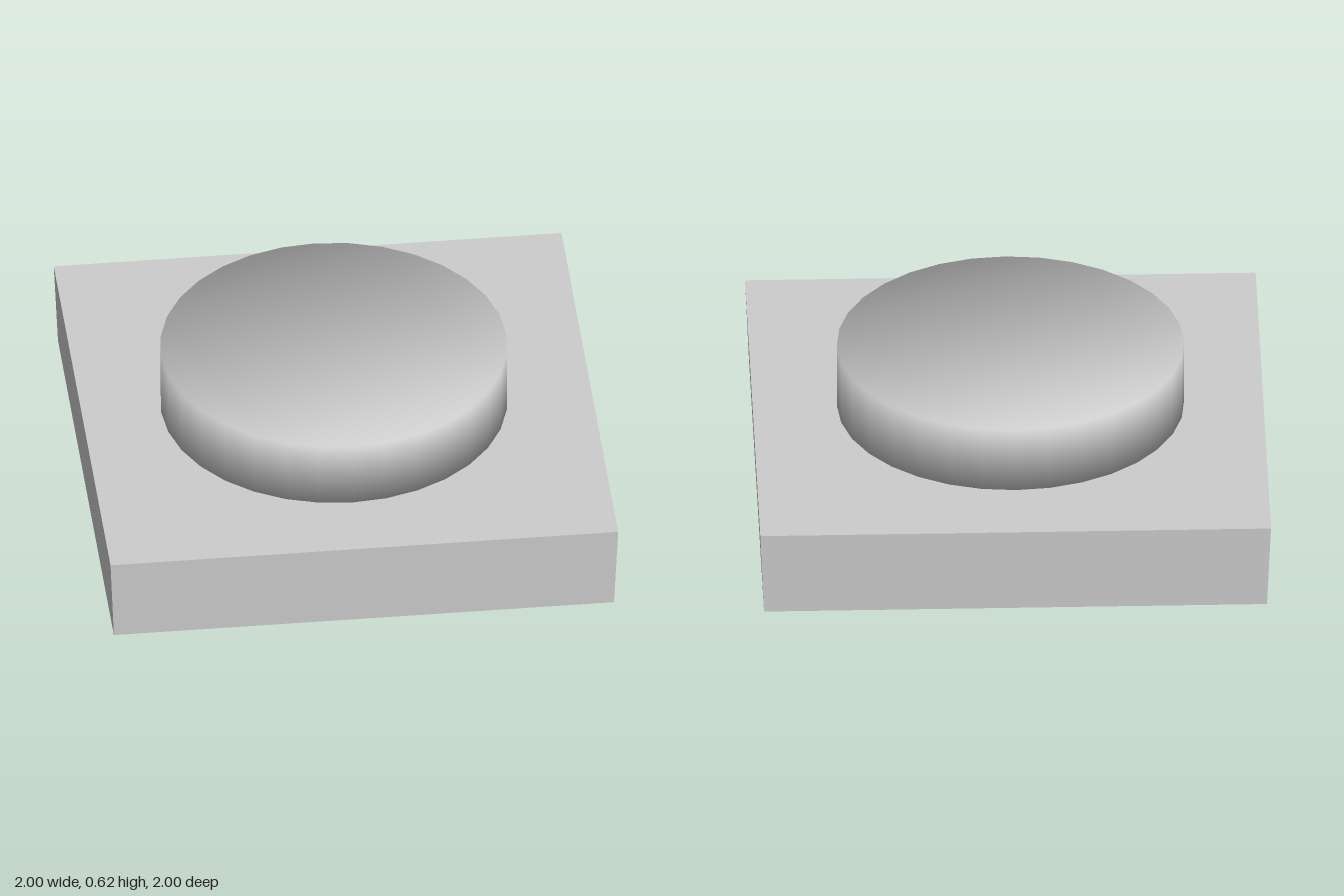
import * as THREE from 'three';
import { mergeVertices } from 'three/addons/utils/BufferGeometryUtils.js';

export function createModel() {
  const model = new THREE.Group();
  const grey = new THREE.MeshStandardMaterial({ color: 0xcccccc });
  grey.name = 'light grey';

  // Square base, slightly narrower at the bottom
  const baseHeight = 0.35;
  const baseGeometry = new THREE.CylinderGeometry(
    Math.SQRT2, 0.985 * Math.SQRT2, baseHeight, 4, 1, false, Math.PI / 4
  ).toNonIndexed();
  baseGeometry.computeVertexNormals();
  const base = new THREE.Mesh(baseGeometry, grey);
  base.name = 'base';
  base.position.y = baseHeight / 2;
  model.add(base);

  // Round raised disc, rim vertices shared so the edges shade softly
  const radius = 0.68, discHeight = 0.27, sides = 32;
  const outline = [];
  for (let i = 0; i < sides; i++) {
    const a = (i / sides) * Math.PI * 2;
    outline.push(new THREE.Vector2(Math.cos(a) * radius, Math.sin(a) * radius));
  }
  let discGeometry = new THREE.ExtrudeGeometry(new THREE.Shape(outline), {
    depth: discHeight, bevelEnabled: false, steps: 1
  });
  discGeometry.rotateX(-Math.PI / 2);
  discGeometry.deleteAttribute('normal');
  discGeometry.deleteAttribute('uv');
  discGeometry.clearGroups();
  discGeometry = mergeVertices(discGeometry, 1e-4);
  discGeometry.computeVertexNormals();

  // Even out the rim normals: outward, and up or down
  const position = discGeometry.attributes.position;
  const normal = discGeometry.attributes.normal;
  const n = new THREE.Vector3();
  for (let i = 0; i < position.count; i++) {
    const up = position.getY(i) > discHeight / 2 ? radius : -radius;
    n.set(position.getX(i), up, position.getZ(i)).normalize();
    normal.setXYZ(i, n.x, n.y, n.z);
  }

  const disc = new THREE.Mesh(discGeometry, grey);
  disc.name = 'disc';
  disc.position.set(-0.01, baseHeight, 0.01);
  model.add(disc);

  return model;
}
